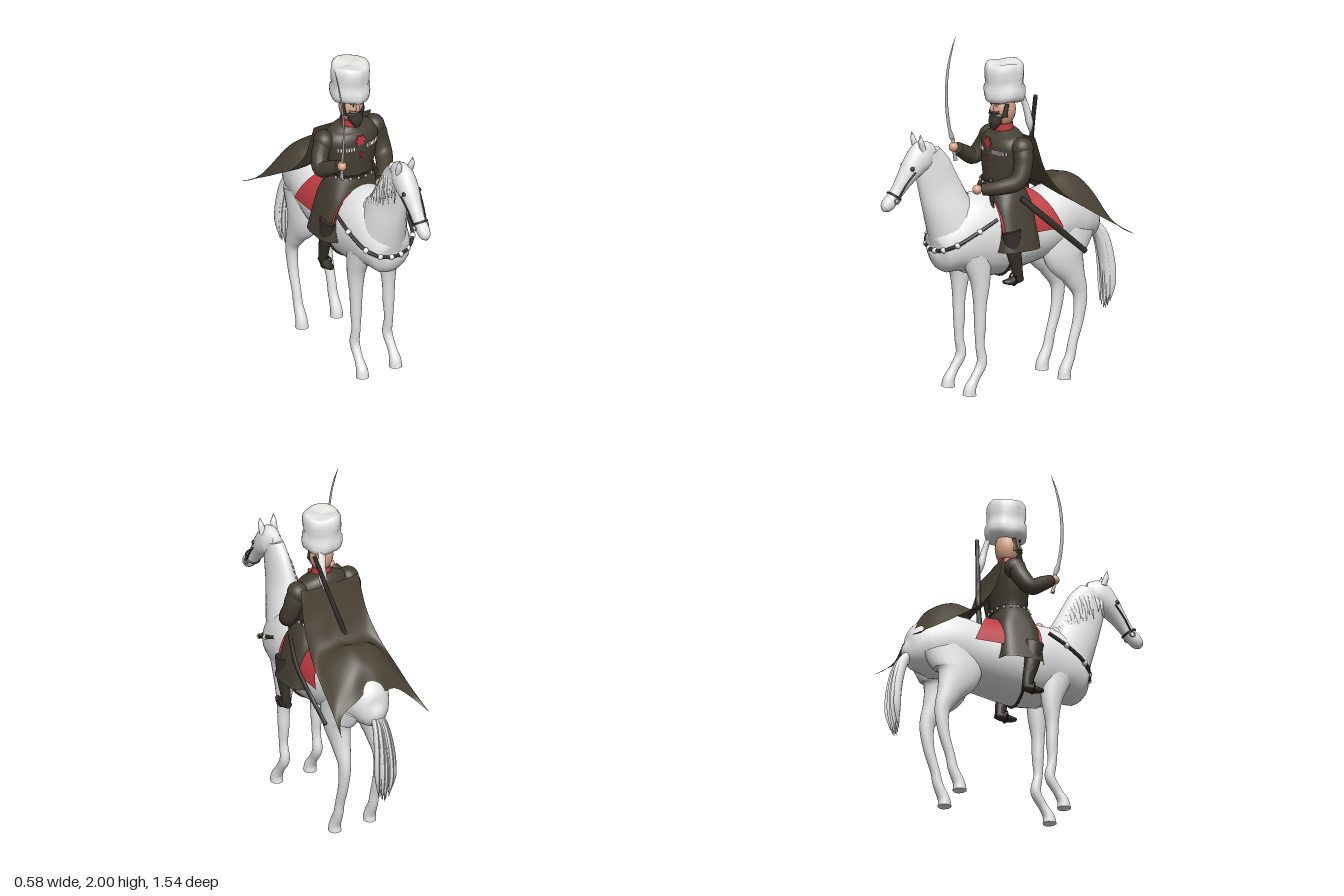
import * as THREE from 'three';
import { toCreasedNormals } from 'three/addons/utils/BufferGeometryUtils.js';

const mat = (name, color) => Object.assign(new THREE.MeshStandardMaterial({ color }), { name });
const V = (a) => new THREE.Vector3(a[0], a[1], a[2]);
const curve = (pts, closed = false) => new THREE.CatmullRomCurve3(pts.map(V), closed);

export function createModel() {
  const root = new THREE.Group();
  const white = mat('horse white', 0xe6e6e6), fur = mat('fur white', 0xf0f0ee);
  const coat = mat('coat brown', 0x453f33), leather = mat('dark leather', 0x35302a);
  const red = mat('red cloth', 0xc03c42), skin = mat('skin', 0xd9a688);
  const steel = mat('steel', 0xb4b4b4), beardM = mat('beard', 0x3a352d);
  const cloth = mat('cape brown', 0x4a4336);
  coat.side = cloth.side = red.side = THREE.DoubleSide;

  const add = (name, geo, m, parent = root) => {
    const mesh = new THREE.Mesh(geo, m);
    mesh.name = name;
    parent.add(mesh);
    return mesh;
  };
  const ball = (name, m, p, s, parent) => {
    const b = add(name, new THREE.SphereGeometry(1, 20, 14), m, parent);
    b.position.set(...p);
    b.scale.set(...s);
    return b;
  };
  const box = (name, m, p, s, parent) => {
    const b = add(name, new THREE.BoxGeometry(...s), m, parent);
    b.position.set(...p);
    return b;
  };

  // Smooth elliptical loft through stations [x, y, z, halfWidth, halfDepth]
  function loft(name, st, m, { seg = 20, steps = 5, parent = root } = {}) {
    const path = curve(st), radii = curve(st.map((s) => [s[3], s[4] ?? s[3], 0]));
    const n = (st.length - 1) * steps, pos = [], idx = [];
    for (let i = 0; i <= n; i++) {
      const c = path.getPoint(i / n), r = radii.getPoint(i / n), T = path.getTangent(i / n);
      const S = new THREE.Vector3(1, 0, 0).addScaledVector(T, -T.x).normalize();
      const N = new THREE.Vector3().crossVectors(T, S);
      for (let j = 0; j < seg; j++) {
        const a = (j / seg) * Math.PI * 2;
        const p = c.clone().addScaledVector(S, Math.cos(a) * r.x).addScaledVector(N, Math.sin(a) * r.y);
        pos.push(p.x, Math.max(0, p.y), p.z);
        const k = (j + 1) % seg, o = i * seg;
        if (i < n) idx.push(o + j, o + k, o + seg + k, o + j, o + seg + k, o + seg + j);
      }
    }
    const e = pos.length / 3, o = n * seg;
    for (const t of [0, 1]) pos.push(...path.getPoint(t).toArray());
    for (let j = 0; j < seg; j++) {
      const k = (j + 1) % seg;
      idx.push(e, k, j, e + 1, o + j, o + k);
    }
    const g = new THREE.BufferGeometry();
    g.setAttribute('position', new THREE.Float32BufferAttribute(pos, 3));
    g.setIndex(idx);
    return add(name, toCreasedNormals(g, 1.0), m, parent);
  }
  const tube = (name, pts, r, m, parent, closed = false) =>
    add(name, new THREE.TubeGeometry(curve(pts, closed), 40, r, 8, closed), m, parent);

  // Open sheet from a rule f(u, v) -> [x, y, z]
  function sheet(name, f, nu, nv, m, parent) {
    const g = new THREE.PlaneGeometry(1, 1, nu, nv), p = g.attributes.position, uv = g.attributes.uv;
    for (let i = 0; i < p.count; i++) p.setXYZ(i, ...f(uv.getX(i), 1 - uv.getY(i)));
    g.computeVertexNormals();
    return add(name, g, m, parent);
  }

  // Horse body, neck and head
  loft('horseBody', [
    [0, 0.805, 0.425, 0.03, 0.035], [0, 0.815, 0.39, 0.11, 0.11], [0, 0.865, 0.3, 0.155, 0.185], [0, 0.905, 0.15, 0.18, 0.245],
    [0, 0.885, 0, 0.19, 0.235], [0, 0.885, -0.2, 0.185, 0.195], [0, 0.93, -0.4, 0.17, 0.195], [0, 0.895, -0.55, 0.135, 0.165],
    [0, 0.865, -0.64, 0.085, 0.1], [0, 0.86, -0.685, 0.025, 0.03],
  ], white, { seg: 32 });
  loft('horseNeck', [[0, 0.9, 0.25, 0.145, 0.18], [0, 1.08, 0.33, 0.105, 0.148], [0, 1.22, 0.385, 0.068, 0.13],
    [0, 1.345, 0.43, 0.053, 0.113], [0, 1.425, 0.46, 0.045, 0.08]], white, { seg: 28 });
  loft('horseHead', [[0, 1.44, 0.42, 0.03, 0.045], [0, 1.415, 0.495, 0.06, 0.09], [0, 1.36, 0.56, 0.06, 0.07],
    [0, 1.29, 0.62, 0.045, 0.05], [0, 1.22, 0.675, 0.035, 0.039], [0, 1.175, 0.718, 0.037, 0.041],
    [0, 1.147, 0.747, 0.028, 0.032], [0, 1.135, 0.76, 0.01, 0.012]], white, { seg: 24 });

  for (const s of [-1, 1]) {
    // Legs, ears and eyes, mirrored
    loft('horseFrontLeg', [[s * 0.1, 0.82, 0.2, 0.06, 0.1], [s * 0.106, 0.66, 0.175, 0.05, 0.06], [s * 0.108, 0.5, 0.178, 0.036, 0.036],
      [s * 0.108, 0.4, 0.177, 0.033, 0.034], [s * 0.108, 0.28, 0.178, 0.025, 0.026], [s * 0.108, 0.18, 0.165, 0.028, 0.03],
      [s * 0.11, 0.1, 0.21, 0.025, 0.027], [s * 0.11, 0.04, 0.245, 0.034, 0.034], [s * 0.11, 0, 0.25, 0.037, 0.04]], white);
    loft('horseHindLeg', [[s * 0.09, 0.88, -0.43, 0.07, 0.17], [s * 0.105, 0.74, -0.39, 0.068, 0.14], [s * 0.112, 0.6, -0.445, 0.05, 0.075],
      [s * 0.115, 0.49, -0.49, 0.035, 0.045], [s * 0.115, 0.35, -0.482, 0.029, 0.033], [s * 0.115, 0.2, -0.44, 0.026, 0.028],
      [s * 0.115, 0.13, -0.425, 0.027, 0.03], [s * 0.115, 0.04, -0.388, 0.034, 0.035], [s * 0.115, 0, -0.385, 0.037, 0.04]], white);
    loft('horseEar', [[s * 0.036, 1.46, 0.515, 0.022, 0.018], [s * 0.042, 1.51, 0.53, 0.018, 0.015], [s * 0.044, 1.555, 0.538, 0.001]], white, { seg: 10 });
    ball('horseEye', leather, [s * 0.052, 1.365, 0.595], [0.01, 0.013, 0.013]);
    // Bridle cheek strap and bit ring
    tube('cheekStrap', [[s * 0.061, 1.345, 0.58], [s * 0.052, 1.28, 0.635], [s * 0.042, 1.2, 0.685]], 0.005, leather);
    const ring = add('bitRing', new THREE.TorusGeometry(0.016, 0.004, 6, 14), steel);
    ring.position.set(s * 0.042, 1.19, 0.69);
    ring.rotation.y = Math.PI / 2;
  }
  // Noseband around the muzzle
  const noseband = add('noseband', new THREE.TorusGeometry(0.042, 0.006, 6, 20), leather);
  noseband.position.set(0, 1.21, 0.685);
  noseband.rotation.x = 0.95;

  // Mane strands falling to one side
  const crest = curve([[0, 1.475, 0.45], [0, 1.42, 0.35], [0, 1.32, 0.285], [0, 1.21, 0.225], [0, 1.16, 0.17]]);
  for (let i = 0; i < 16; i++) {
    const t = i / 15, c = crest.getPoint(t), w = 0.043 + 0.05 * t;
    loft('maneStrand', [[0, c.y - 0.012, c.z + 0.02, 0.004, 0.008], [-w * 0.75, c.y - 0.045, c.z + 0.035, 0.006, 0.013],
      [-w - 0.006, c.y - 0.13, c.z + 0.05 + 0.01 * Math.sin(i * 2), 0.005, 0.01],
      [-w - 0.014, c.y - 0.2 - 0.02 * Math.cos(i * 3), c.z + 0.055, 0.001]], white, { seg: 8, steps: 4 });
  }
  // Tail core and strands
  loft('tailCore', [[0, 0.86, -0.63, 0.03, 0.03], [0, 0.78, -0.69, 0.042, 0.03], [0, 0.64, -0.727, 0.05, 0.028],
    [0, 0.5, -0.738, 0.045, 0.022], [0, 0.37, -0.73, 0.006]], white);
  for (let i = 0; i < 11; i++) {
    const u = (i - 5) / 5, d = 0.011 * Math.sin(i * 2.4);
    loft('tailStrand', [[u * 0.02, 0.86, -0.64, 0.015, 0.02], [u * 0.038, 0.79, -0.69 + d, 0.013, 0.022],
      [u * 0.052, 0.66, -0.728 + d, 0.014, 0.022], [u * 0.058, 0.5, -0.742 + d, 0.012, 0.02],
      [u * 0.042, 0.33 + 0.05 * Math.abs(u), -0.73 + d, 0.002]], white, { seg: 8, steps: 4 });
  }

  // Saddle cloth, girth and breast strap with studs
  sheet('saddleCloth', (u, v) => {
    const k = 2 * u - 1, a = k * 1.47;
    return [Math.sin(a) * 0.203, 0.89 + Math.cos(a) * 0.25, 0.085 - v * (0.25 + 0.16 * Math.abs(k))];
  }, 30, 8, red);
  const loop = [];
  for (let i = 0; i < 20; i++) loop.push([0.193 * Math.cos(i * Math.PI / 10), 0.885 + 0.238 * Math.sin(i * Math.PI / 10), 0]);
  tube('girth', loop, 0.008, leather, root, true);
  const strap = [[-0.2, 1.03, 0.12], [-0.188, 0.96, 0.26], [-0.15, 0.9, 0.365], [-0.075, 0.865, 0.417], [0, 0.857, 0.432],
    [0.075, 0.865, 0.417], [0.15, 0.9, 0.365], [0.188, 0.96, 0.26], [0.2, 1.03, 0.12]];
  tube('breastStrap', strap, 0.011, leather);
  for (const t of [0.1, 0.24, 0.35, 0.45, 0.55, 0.65, 0.76, 0.9])
    ball('strapStud', fur, curve(strap).getPoint(t).toArray(), [0.017, 0.017, 0.017]);

  // Rider torso, coat skirt and belt
  const rider = new THREE.Group();
  rider.name = 'rider';
  root.add(rider);
  const inRider = { parent: rider };
  loft('torso', [[0, 1.14, -0.04, 0.135, 0.105], [0, 1.2, -0.04, 0.125, 0.1], [0, 1.3, -0.045, 0.15, 0.107],
    [0, 1.4, -0.055, 0.17, 0.108], [0, 1.46, -0.06, 0.14, 0.085], [0, 1.495, -0.055, 0.06, 0.055]], coat, { seg: 32, parent: rider });
  const sgnPow = (c, e) => Math.sign(c) * Math.abs(c) ** e;
  sheet('coatSkirt', (u, v) => {
    const a = u * Math.PI * 2, e = 1 - 0.5 * Math.min(1, v * 3), flare = v ** 0.75;
    return [(0.13 + 0.12 * flare) * sgnPow(Math.cos(a), e), 1.2 - 0.37 * v, -0.037 + (0.105 + 0.043 * flare) * sgnPow(Math.sin(a), e)];
  }, 64, 14, coat, rider);
  loft('belt', [[0, 1.178, -0.04, 0.138, 0.113], [0, 1.206, -0.04, 0.136, 0.111]], leather, { seg: 32, steps: 1, parent: rider });
  for (let i = 0; i < 18; i++) {
    const a = (i / 18) * Math.PI * 2;
    ball('beltStud', steel, [0.139 * Math.cos(a), 1.192, -0.04 + 0.114 * Math.sin(a)], [0.008, 0.01, 0.008], rider);
  }

  // Arms, hands, cartridge rows, legs and boots
  const arms = {
    '-1': [[-0.162, 1.43, -0.07, 0.053], [-0.21, 1.34, -0.045, 0.05], [-0.228, 1.285, 0, 0.048], [-0.212, 1.325, 0.08, 0.042], [-0.192, 1.36, 0.135, 0.034]],
    1: [[0.162, 1.43, -0.07, 0.053], [0.192, 1.33, -0.06, 0.053], [0.198, 1.235, -0.02, 0.052], [0.14, 1.195, 0.08, 0.042], [0.08, 1.18, 0.14, 0.034]],
  };
  for (const s of [-1, 1]) {
    ball('shoulder', coat, [s * 0.166, 1.412, -0.07], [0.06, 0.062, 0.064], rider);
    loft('sleeve', arms[s], coat, inRider);
    ball('hand', skin, s < 0 ? [-0.19, 1.37, 0.16] : [0.06, 1.18, 0.165], [0.026, 0.028, 0.028], rider);
    for (let i = 0; i < 7; i++) {
      const x = 0.045 + i * 0.014;
      box('cartridge', fur, [s * x, 1.378, -0.055 + 0.11 * Math.sqrt(1 - (x / 0.168) ** 2)], [0.009, 0.022, 0.012], rider);
    }
    loft('riderLeg', [[s * 0.205, 0.95, 0.03, 0.035, 0.06], [s * 0.21, 0.82, 0.015, 0.032, 0.045], [s * 0.208, 0.73, -0.005, 0.027, 0.035],
      [s * 0.206, 0.66, -0.015, 0.025, 0.028]], leather, inRider);
    loft('boot', [[s * 0.206, 0.668, -0.04, 0.02, 0.02], [s * 0.206, 0.664, 0, 0.028, 0.026], [s * 0.208, 0.658, 0.05, 0.027, 0.018],
      [s * 0.208, 0.662, 0.085, 0.012, 0.01]], leather, inRider);
    const stirrup = add('stirrup', new THREE.TorusGeometry(0.034, 0.005, 6, 18), leather, rider);
    stirrup.position.set(s * 0.208, 0.668, 0.02);
  }

  // Chest rosette
  const rosette = new THREE.Shape();
  for (let i = 0; i <= 60; i++) {
    const a = (i / 60) * Math.PI * 2, r = 0.031 + 0.006 * Math.cos(6 * a);
    rosette[i ? 'lineTo' : 'moveTo'](r * Math.cos(a), r * Math.sin(a));
  }
  add('rosette', new THREE.ExtrudeGeometry(rosette, { depth: 0.006, bevelEnabled: false }), red, rider).position.set(0, 1.425, 0.052);
  box('ribbon', red, [0, 1.335, 0.064], [0.014, 0.03, 0.008], rider);

  // Head, collar, beard and face
  loft('collar', [[0, 1.47, -0.055, 0.058, 0.056], [0, 1.53, -0.052, 0.053, 0.052]], red, { parent: rider, steps: 1 });
  ball('head', skin, [0, 1.605, -0.05], [0.069, 0.1, 0.072], rider);
  loft('nose', [[0, 1.645, 0.015, 0.008], [0, 1.615, 0.03, 0.011], [0, 1.605, 0.022, 0.012]], skin, { seg: 10, parent: rider });
  loft('beard', [[0, 1.592, -0.015, 0.048, 0.04], [0, 1.565, -0.006, 0.048, 0.04], [0, 1.535, 0.008, 0.04, 0.034],
    [0, 1.495, 0.018, 0.014, 0.012]], beardM, inRider);
  for (const s of [-1, 1]) {
    loft('sideburn', [[s * 0.062, 1.65, -0.035, 0.009, 0.012], [s * 0.058, 1.575, -0.022, 0.011, 0.02]], beardM, inRider);
    tube('moustache', [[0, 1.598, 0.026], [s * 0.025, 1.596, 0.02], [s * 0.046, 1.602, 0.004]], 0.008, beardM, rider);
    ball('eye', fur, [s * 0.026, 1.64, 0.011], [0.012, 0.007, 0.006], rider);
    ball('pupil', leather, [s * 0.026, 1.64, 0.016], [0.005, 0.006, 0.004], rider);
    box('eyebrow', beardM, [s * 0.028, 1.653, 0.012], [0.028, 0.006, 0.009], rider).rotation.z = s * 0.2;
  }

  // Fur hat with lumpy folds, and the hanging hood tail
  const profile = [[0, 1.66], [0.085, 1.656], [0.108, 1.668], [0.114, 1.695], [0.114, 1.73], [0.102, 1.756], [0.107, 1.785],
    [0.109, 1.83], [0.107, 1.86], [0.096, 1.876], [0.08, 1.88], [0, 1.868]].map(([r, y]) => new THREE.Vector2(r, y));
  const hat = new THREE.LatheGeometry(profile, 40), hp = hat.attributes.position;
  for (let i = 0; i < hp.count; i++) {
    const x = hp.getX(i), y = hp.getY(i), z = hp.getZ(i), a = Math.atan2(z, x);
    const k = 1 + 0.02 * Math.sin(5 * a + y * 30) + 0.012 * Math.sin(9 * a);
    hp.setXYZ(i, x * k, y + 0.006 * Math.sin(3 * a + 1) * Math.min(1, Math.hypot(x, z) / 0.08), z * k * 1.04);
  }
  hat.computeVertexNormals();
  add('furHat', hat, fur, rider).position.z = -0.058;
  loft('hoodTail', [[0.05, 1.69, -0.14, 0.025, 0.012], [0.065, 1.6, -0.165, 0.022, 0.018], [0.068, 1.53, -0.18, 0.024, 0.02],
    [0.066, 1.46, -0.19, 0.004]], fur, inRider);

  // Cape spread over the rump, flaring to pointed corners
  const middle = curve([[0, 1.455, -0.15], [0, 1.29, -0.2], [0, 1.14, -0.28], [0, 1.185, -0.42], [0, 1.13, -0.545], [0, 0.995, -0.63]]);
  const edge = curve([[0.19, 1.465, -0.14], [0.205, 1.25, -0.21], [0.225, 1.11, -0.32], [0.245, 1.01, -0.46], [0.262, 0.92, -0.6], [0.288, 0.83, -0.75]]);
  sheet('cape', (u, v) => {
    const k = 2 * u - 1, a = middle.getPoint(v), b = edge.getPoint(v), w = Math.abs(k);
    const ripple = 0.012 * v * Math.sin(k * 9) * (1 - w);
    return [k * b.x, a.y + (b.y - a.y) * w ** 2.3 + ripple, a.z + (b.z - a.z) * w ** 8 + ripple];
  }, 64, 36, cloth);

  // Weapons: sabre, scabbard, rifle and dagger
  loft('sabreBlade', [[-0.19, 1.4, 0.16, 0.004, 0.011], [-0.195, 1.46, 0.18, 0.004, 0.011], [-0.202, 1.63, 0.2, 0.004, 0.01],
    [-0.21, 1.8, 0.188, 0.003, 0.009], [-0.216, 1.92, 0.158, 0.003, 0.006], [-0.22, 2, 0.128, 0.001]], steel, { seg: 8 });
  loft('sabreGrip', [[-0.185, 1.29, 0.15, 0.012], [-0.188, 1.34, 0.158, 0.009], [-0.19, 1.42, 0.166, 0.01]], steel, { seg: 10 });
  loft('scabbard', [[0.2, 1.13, -0.04, 0.01, 0.018], [0.238, 1.0, -0.18, 0.011, 0.019], [0.22, 0.76, -0.46, 0.01, 0.016]], leather, { seg: 12 });
  loft('rifle', [[0.125, 1.69, -0.185, 0.012], [0.06, 1.48, -0.205, 0.013], [-0.01, 1.26, -0.232, 0.014],
    [-0.085, 1.03, -0.25, 0.014, 0.016]], leather, { seg: 12 });
  loft('dagger', [[0.075, 1.24, 0.085, 0.012], [0.1, 1.14, 0.095, 0.016, 0.01], [0.135, 1.0, 0.1, 0.006]], leather, { seg: 10 });
  return root;
}
